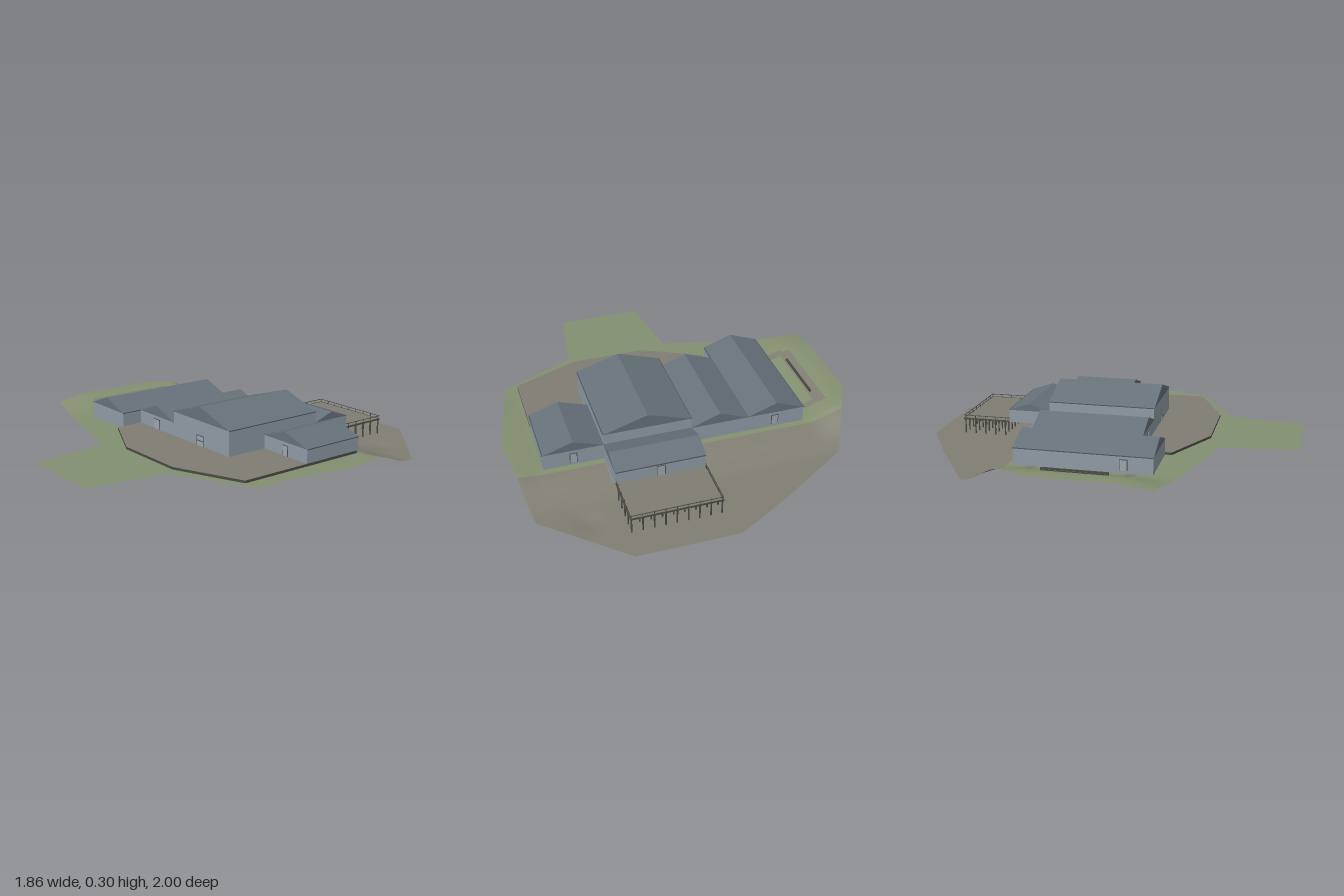
import * as THREE from 'three';

const mat = (name, color, side = THREE.FrontSide) => {
  const m = new THREE.MeshStandardMaterial({ color, side });
  m.name = name;
  return m;
};
const smooth = (v, a, b) => THREE.MathUtils.smoothstep(v, a, b);

// Height of the ground: level front, slope to a low flat shore, bank on one side
function height(x, z) {
  const level = 1 - smooth(-z, 0.33, 0.62);
  const bank = 0.058 * smooth(-x, 0.64, 0.87) * (1 - 0.9 * smooth(z, 0.2, 0.6));
  const rim = 0.012 * smooth(x, 0.77, 0.9) * (1 - smooth(z, 0.2, 0.4));
  const pit = 0.014 * Math.exp(-((x - 0.62) ** 2 + (z + 0.7) ** 2) / 0.004);
  return 0.0145 + level * (0.064 + bank + rim) - pit;
}

// Ground outline as [z, x] chains along both sides
const WEST = [[-1, -0.05], [-0.83, -0.35], [-0.58, -0.74], [-0.2, -0.93], [0.4, -0.92], [0.59, -0.145], [1, -0.09]];
const EAST = [[-1, 0.47], [-0.65, 0.86], [-0.35, 0.9], [-0.13, 0.93], [0.39, 0.83], [0.59, 0.43], [1, 0.37]];
function along(chain, z) {
  let i = 0;
  while (i < chain.length - 2 && z > chain[i + 1][0]) i++;
  const [z0, x0] = chain[i], [z1, x1] = chain[i + 1];
  return x0 + (x1 - x0) * (z - z0) / (z1 - z0);
}
const west = z => along(WEST, z), east = z => along(EAST, z);

export function createModel() {
  const model = new THREE.Group();
  const grass = mat('grass', 0x838f70, THREE.DoubleSide);
  const earth = mat('earth', 0x807d72, THREE.DoubleSide);
  const paving = mat('paving', 0x7f7c72);
  const curbMat = mat('dark curb', 0x4a4a44);
  const wallMat = mat('wall', 0x8f9ba6);
  const roofMat = mat('roof', 0x66717a);
  const doorMat = mat('door', 0x9ca6ae);
  const trimMat = mat('trim', 0x4d555c);
  const postMat = mat('post', 0x4c4b46);
  const stone = mat('pale stone', 0xa5a298);

  function add(name, geo, m, parent = model) {
    const mesh = new THREE.Mesh(geo, m);
    mesh.name = name;
    parent.add(mesh);
    return mesh;
  }
  function box(name, x0, x1, y0, y1, z0, z1, m, parent) {
    const mesh = add(name, new THREE.BoxGeometry(x1 - x0, y1 - y0, z1 - z0), m, parent);
    mesh.position.set((x0 + x1) / 2, (y0 + y1) / 2, (z0 + z1) / 2);
    return mesh;
  }

  // Sheet that follows the ground between two side functions
  function sheet(name, z0, z1, left, right, m, lift = 0, cols = 40) {
    const stops = [z0, z1];
    for (const [z] of [...WEST, ...EAST]) if (z > z0 && z < z1) stops.push(z);
    for (let z = z0 + 0.025; z < z1; z += 0.025) stops.push(z);
    const zs = [...new Set(stops)].sort((a, b) => a - b);
    const pos = [], idx = [];
    zs.forEach((z, r) => {
      for (let c = 0; c <= cols; c++) {
        const x = left(z) + (right(z) - left(z)) * c / cols;
        pos.push(x, height(x, z) + lift, z);
        if (r && c) {
          const d = r * (cols + 1) + c, b = d - cols - 1;
          idx.push(b - 1, d - 1, b, b, d - 1, d);
        }
      }
    });
    const geo = new THREE.BufferGeometry();
    geo.setAttribute('position', new THREE.Float32BufferAttribute(pos, 3));
    geo.setIndex(idx);
    geo.computeVertexNormals();
    return add(name, geo, m);
  }

  // Ground, with an opening below the rear annex
  const X0 = -0.01, X1 = 0.45;
  sheet('shore', -1, -0.5, west, east, earth);
  sheet('slopeRight', -0.5, -0.38, west, () => X0, earth);
  sheet('slopeLeft', -0.5, -0.38, () => X1, east, earth);
  sheet('slopeTopRight', -0.38, -0.35, west, () => X0, grass);
  sheet('slopeTopLeft', -0.38, -0.35, () => X1, east, grass);
  sheet('lawn', -0.35, 1, west, east, grass);

  // Wedge wall at the side of the opening, facing inward
  const wedge = new THREE.Shape();
  wedge.moveTo(0.35, 0.1);
  for (let z = 0.35; z < 0.501; z += 0.03) wedge.lineTo(z, height(X0, -z));
  wedge.lineTo(0.5, 0.1);
  const wedgeMesh = add('openingWall', new THREE.ShapeGeometry(wedge), stone);
  wedgeMesh.rotation.y = Math.PI / 2;
  wedgeMesh.position.x = X0;

  // Stone bank beside the right wing
  sheet('stoneBank', -0.27, 0.24, () => -0.8, () => -0.74, earth, 0.006, 6);
  sheet('bankArmBack', -0.27, -0.23, () => -0.74, () => -0.64, earth, 0.004, 6);
  sheet('bankArmFront', 0.22, 0.27, () => -0.76, () => -0.64, earth, 0.004, 6);
  box('bankWall', -0.76, -0.75, 0.1, 0.123, -0.17, 0.16, curbMat);

  // Paved forecourt with a dark edge
  const court = new THREE.Shape([[-0.32, 0.38], [0, 0.535], [0.4, 0.535], [0.76, 0.385], [0.76, -0.34], [-0.32, -0.34]]
    .map(([x, z]) => new THREE.Vector2(x, -z)));
  const slab = new THREE.ExtrudeGeometry(court, { depth: 0.013, bevelEnabled: false });
  slab.rotateX(-Math.PI / 2);
  add('forecourt', slab, [paving, curbMat]).position.y = 0.08;

  // Gabled halls: walls plus a prism roof with its ridge along z
  function hall(name, x0, x1, z0, z1, base, eave, ridge, parent = model) {
    const g = new THREE.Group();
    g.name = name;
    parent.add(g);
    box('walls', x0, x1, base, eave, z0, z1, wallMat, g);
    const o = 0.002;
    const tri = new THREE.Shape([
      new THREE.Vector2(x0 - o, eave), new THREE.Vector2(x1 + o, eave), new THREE.Vector2((x0 + x1) / 2, ridge)]);
    const roof = new THREE.ExtrudeGeometry(tri, { depth: z1 - z0 + 2 * o, bevelEnabled: false });
    add('roof', roof, roofMat, g).position.z = z0 - o;
    for (const x of [x0, x1]) box('eaveTrim', x - 0.003, x + 0.003, eave - 0.003, eave + 0.001, z0, z1, trimMat, g);
    return g;
  }
  hall('rightWing', -0.63, -0.32, -0.35, 0.345, 0.074, 0.165, 0.222);
  hall('middleWing', -0.32, -0.01, -0.35, 0.23, 0.074, 0.165, 0.222);
  hall('mainHall', -0.01, 0.45, -0.35, 0.23, 0.074, 0.225, 0.298);
  hall('leftWing', 0.45, 0.76, -0.35, 0, 0.074, 0.165, 0.217);
  // Rear annex, turned so its ridge runs along x
  const annex = hall('rearAnnex', -0.58, -0.35, -0.45, 0.01, 0.095, 0.165, 0.205);
  annex.rotation.y = -Math.PI / 2;

  // Framed doors as thin plates
  function door(x, z, w, turn, y = 0.092, h = 0.056) {
    const g = new THREE.Group();
    g.name = 'door';
    g.position.set(x, y, z);
    g.rotation.y = turn;
    model.add(g);
    box('doorFrame', -w / 2, w / 2, 0, h, 0, 0.002, trimMat, g);
    box('doorPanel', -w / 2 + 0.004, w / 2 - 0.004, 0, h - 0.004, 0, 0.004, doorMat, g);
  }
  door(-0.165, 0.23, 0.055, 0);
  door(0.22, 0.23, 0.06, 0);
  door(0.605, 0, 0.04, 0);
  door(-0.47, -0.35, 0.04, Math.PI);
  door(0.605, -0.35, 0.04, Math.PI);
  door(0.22, -0.58, 0.045, Math.PI, 0.1);
  door(-0.63, 0.2, 0.04, -Math.PI / 2);
  box('entranceCanopy', 0.195, 0.245, 0.12, 0.124, 0.23, 0.238, trimMat);

  // Rear deck on posts, with a low railing
  box('deck', X0, X1, 0.094, 0.1, -0.845, -0.582, paving);
  const rail = 0.116, t = 0.0015;
  box('railBack', X0, X1, rail - t, rail + t, -0.845, -0.842, postMat);
  for (const x of [X0 + 0.002, X1 - 0.002]) {
    box('railSide', x - t, x + t, rail - t, rail + t, -0.845, -0.582, postMat);
    box('deckEdgeSide', x - 0.003, x + 0.003, 0.093, 0.101, -0.846, -0.582, postMat);
  }
  box('deckEdgeBack', X0, X1, 0.093, 0.101, -0.847, -0.842, postMat);
  const pole = new THREE.CylinderGeometry(0.004, 0.004, 0.088, 6);
  const baluster = new THREE.CylinderGeometry(0.0018, 0.0018, 0.018, 5);
  for (let i = 0; i < 9; i++) {
    const x = X0 + 0.006 + i * 0.056;
    for (let j = 0; j < 5; j++) {
      const z = -0.84 + j * 0.058;
      add('deckPost', pole, postMat).position.set(x, 0.052, z);
      if (j === 0 || i === 0 || i === 8) add('railPost', baluster, postMat).position.set(x, 0.108, z);
    }
  }

  return model;
}
